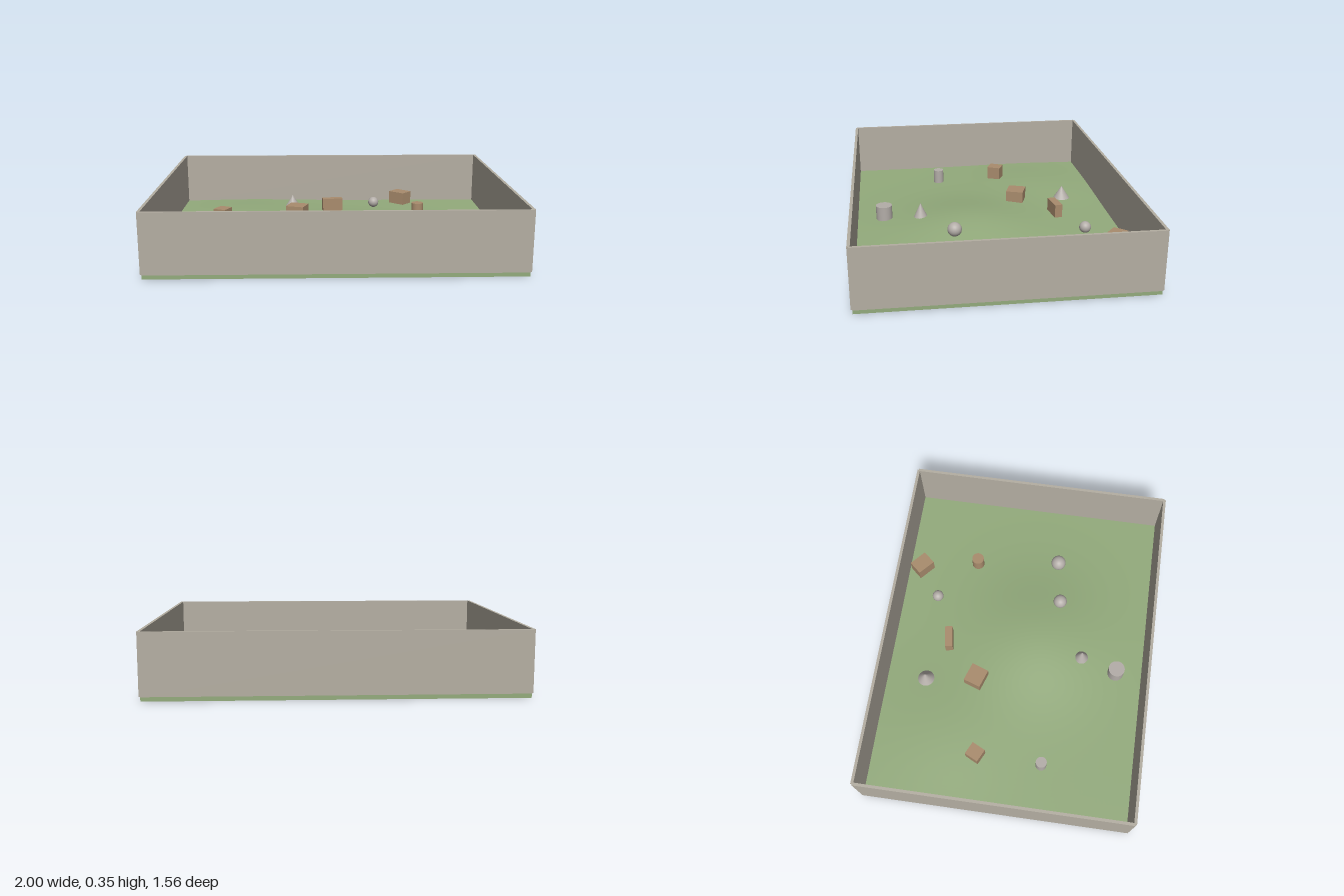
import * as THREE from 'three';

const material = (name, color) => {
  const m = new THREE.MeshStandardMaterial({ color });
  m.name = name;
  return m;
};

// Gentle terrain: a flat field with two soft mounds
const MOUNDS = [
  { x: 0.1, z: 0.1, height: 0.07, spread: 0.28 },
  { x: -0.55, z: -0.35, height: 0.028, spread: 0.28 },
];
function groundHeight(x, z) {
  let y = 0.038;
  for (const m of MOUNDS) {
    const d2 = (x - m.x) ** 2 + (z - m.z) ** 2;
    y += m.height * Math.exp(-d2 / (2 * m.spread ** 2));
  }
  return y;
}

export function createModel() {
  const model = new THREE.Group();
  model.name = 'walledField';
  const grass = material('grass green', 0x93ab7c);
  const stone = material('wall stone', 0xb4aea2);
  const brown = material('crate brown', 0xa98c6d);
  const grey = material('rock grey', 0xb3ada8);

  const add = (name, geometry, mat, x, y, z, turn = 0) => {
    const mesh = new THREE.Mesh(geometry, mat);
    mesh.name = name;
    mesh.position.set(x, y, z);
    mesh.rotation.y = turn;
    model.add(mesh);
    return mesh;
  };

  // Ground slab: flat underneath, rolling on top
  const halfX = 0.992, halfZ = 0.77;
  const slab = new THREE.BoxGeometry(halfX * 2, 1, halfZ * 2, 60, 1, 48);
  const pos = slab.attributes.position;
  for (let i = 0; i < pos.count; i++) {
    const top = pos.getY(i) > 0;
    pos.setY(i, top ? groundHeight(pos.getX(i), pos.getZ(i)) : 0);
  }
  slab.computeVertexNormals();
  add('ground', slab, grass, 0, 0, 0);

  // Four walls centred on the ground's edges, leaving notched corners
  const thick = 0.016, wallH = 0.33, wallY = 0.024 + wallH / 2;
  for (const s of [1, -1]) {
    add(s > 0 ? 'frontWall' : 'backWall',
      new THREE.BoxGeometry(halfX * 2, wallH, thick), stone, 0, wallY, s * halfZ);
    add(s > 0 ? 'leftWall' : 'rightWall',
      new THREE.BoxGeometry(thick, wallH, halfZ * 2), stone, s * halfX, wallY, 0);
  }

  // Crates: x, z, width, height, depth, turn
  const crates = [
    [-0.68, -0.157, 0.08, 0.08, 0.085, -0.45],
    [-0.222, -0.224, 0.113, 0.07, 0.105, -0.33],
    [0.002, -0.428, 0.128, 0.08, 0.046, 0.17],
    [0.472, -0.68, 0.114, 0.08, 0.09, -0.72],
  ];
  for (const [x, z, w, h, d, turn] of crates) {
    add('crate', new THREE.BoxGeometry(w, h, d), brown, x, groundHeight(x, z) + h / 2, z, turn);
  }

  // Upright drums: x, z, radius, height, material
  const drums = [
    [0.548, -0.335, 0.037, 0.078, brown],
    [-0.685, 0.23, 0.032, 0.085, grey],
    [-0.064, 0.604, 0.048, 0.085, grey],
  ];
  for (const [x, z, r, h, mat] of drums) {
    add('drum', new THREE.CylinderGeometry(r, r, h, 24), mat, x, groundHeight(x, z) + h / 2, z);
  }

  // Balls: x, z, radius
  for (const [x, z, r] of [[0.28, -0.548, 0.034], [0.328, 0.215, 0.041], [0.602, 0.172, 0.045]]) {
    add('ball', new THREE.SphereGeometry(r, 24, 16), grey, x, groundHeight(x, z) + r, z);
  }

  // Cones: x, z, radius, height
  for (const [x, z, r, h] of [[-0.258, -0.527, 0.05, 0.078], [-0.002, 0.388, 0.04, 0.085]]) {
    add('cone', new THREE.ConeGeometry(r, h, 24), grey, x, groundHeight(x, z) + h / 2, z);
  }

  return model;
}
